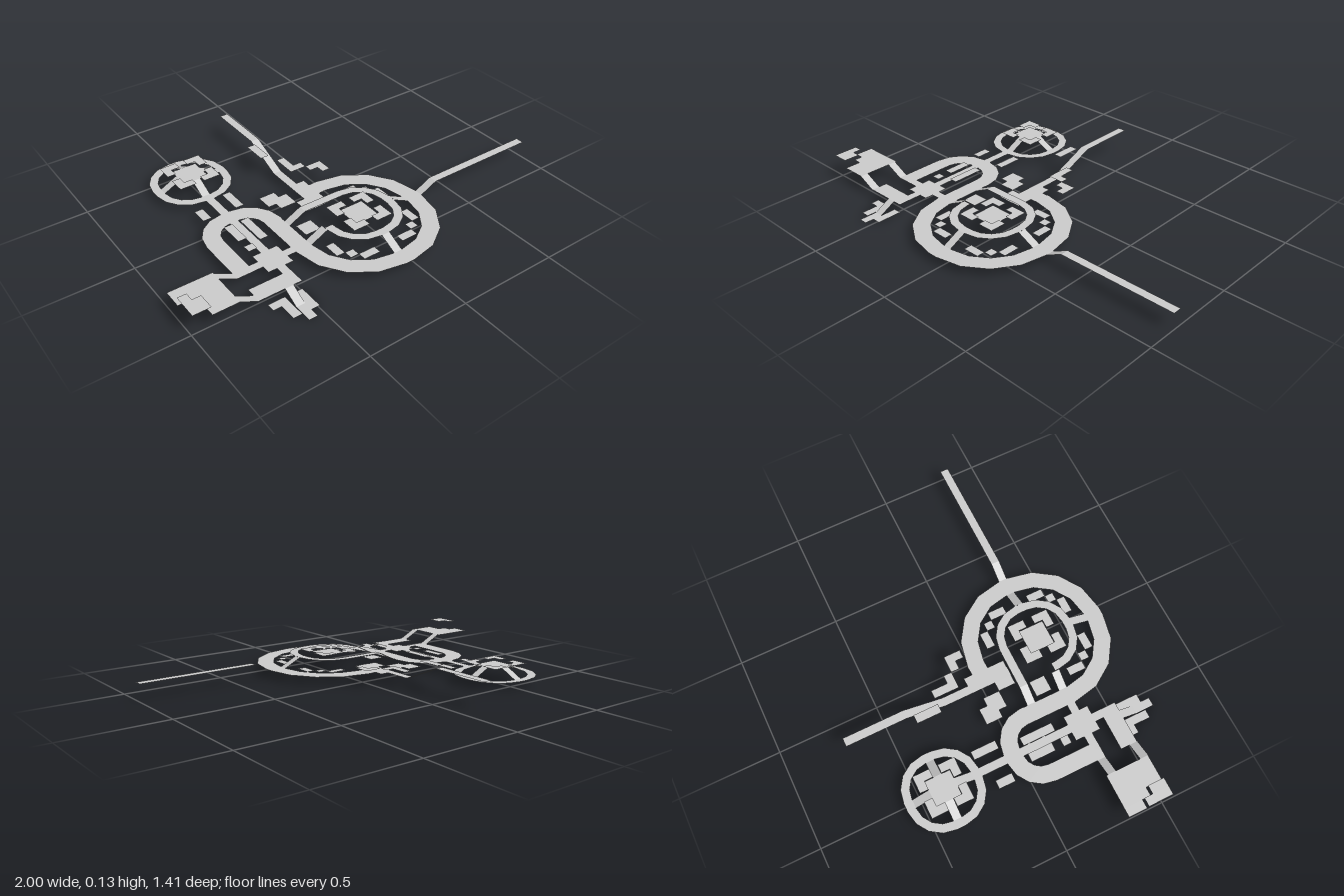
import * as THREE from 'three';

export function createModel() {
  const model = new THREE.Group();
  const mat = new THREE.MeshStandardMaterial({ color: 0xcccccc, flatShading: true, side: THREE.DoubleSide });
  const C = 2 / 47;                       // floor tile size
  const h = C / 2;
  const lift = C / 4;                     // raised tiles beside a floor
  const [L0, L1, L2, L3] = [0, C, 2 * C, 3 * C]; // floor levels

  function add(geo, name) {
    const mesh = new THREE.Mesh(geo, mat);
    mesh.name = name;
    model.add(mesh);
  }
  const rect = (x0, x1, z0, z1) => new THREE.PlaneGeometry(x1 - x0, z1 - z0)
    .rotateX(-Math.PI / 2).translate((x0 + x1) / 2, 0, (z0 + z1) / 2);
  // flat floor rectangle
  const floor = (name, x0, x1, z0, z1, y) => add(rect(x0, x1, z0, z1).translate(0, y, 0), name);
  // sloped floor, from height ya at the low coordinate to yb at the high one
  function ramp(name, axis, x0, x1, z0, z1, ya, yb) {
    const g = rect(x0, x1, z0, z1);
    const p = g.attributes.position;
    for (let i = 0; i < p.count; i++) {
      const t = axis === 'x' ? (p.getX(i) - x0) / (x1 - x0) : (p.getZ(i) - z0) / (z1 - z0);
      p.setY(i, ya + (yb - ya) * t);
    }
    g.computeVertexNormals();
    add(g, name);
  }
  // flat ring of quarter bends (0 = right back, then counterclockwise from above),
  // joined by straight pieces one tile long; radii are in tiles
  function ring(name, x, z, y, r0, r1, quarters) {
    for (const q of quarters) {
      const parts = [
        new THREE.RingGeometry(r0 * C, r1 * C, 4, 1, 0, Math.PI / 2).rotateX(-Math.PI / 2).translate(h, 0, -h),
        rect(h + r0 * C, h + r1 * C, -h, 0),
        rect(0, h, -h - r1 * C, -h - r0 * C),
      ];
      parts.forEach((g) => add(g.rotateY(q * Math.PI / 2).translate(x, y, z), name));
    }
  }
  const tiles = (name, y, list) => list.forEach((r) => floor(name, ...r, y));
  // rectangle given in tiles from a centre, mirrored by sx and sz
  function quad(name, cx, cz, y, sx, sz, [a, b, c, d]) {
    const X = [cx + sx * a * C, cx + sx * b * C].sort((p, q) => p - q);
    const Z = [cz + sz * c * C, cz + sz * d * C].sort((p, q) => p - q);
    floor(name, ...X, ...Z, y);
  }
  // square centre with an L of tiles around each corner
  function centre(name, cx, cz, y) {
    floor(name, cx - 1.5 * C, cx + 1.5 * C, cz - 1.5 * C, cz + 1.5 * C, y);
    for (const sx of [-1, 1]) for (const sz of [-1, 1]) {
      quad(name + 'Corner', cx, cz, y + lift, sx, sz, [0.5, 2.5, 1.5, 2.5]);
      quad(name + 'Corner', cx, cz, y + lift, sx, sz, [1.5, 2.5, 0.5, 1.5]);
    }
  }

  // Large round hall
  const bx = -C, bz = 0.34;
  ring('largeRing', bx, bz, L1, 6, 8, [0, 2, 3]);
  ring('innerRing', bx, bz, L2, 3, 4, [0, 2, 3]);
  floor('largeRingEnd', -0.15, bx, -0.02, 0.064, L1);
  floor('innerRingStraight', -0.235, bx, 0.148, 0.191, L2);
  ramp('innerRingRamp', 'x', -0.32, -0.235, 0.148, 0.191, L1, L2);
  ramp('westSpoke', 'x', -0.32, -0.235, bz - h, bz + h, L1, L2);
  ramp('eastSpoke', 'x', 0.149, 0.235, bz - h, bz + h, L2, L1);
  ramp('southSpoke', 'z', bx - h, bx + h, 0.531, 0.617, L2, L1);
  centre('hallCentre', bx, bz, L2);
  // Stepped tiles between the rings, in three quadrants
  for (const [sx, sz] of [[1, 1], [1, -1], [-1, 1]]) {
    quad('hallTile', bx, bz, L1, sx, sz, [4.5, 5.5, 1.5, 3.5]);
    quad('hallTile', bx, bz, L1, sx, sz, [3.5, 4.5, 3.5, 4.5]);
    quad('hallTile', bx, bz, L1, sx, sz, [1.5, 3.5, 4.5, 5.5]);
  }
  floor('hallTile', -0.3, -0.22, 0.21, 0.29, L1);

  // Long east corridor
  ramp('eastRamp', 'x', 0.319, 0.405, bz - h, bz + h, L1, L2);
  floor('eastCorridor', 0.405, 1, bz - h, bz + h, L2);

  // Long north corridor with stepped landings
  floor('northCorridor', -0.15, -0.107, -0.705, -0.4, L3);
  ramp('northRamp', 'z', -0.15, -0.107, -0.4, -0.2, L3, L1);
  floor('northEntry', -0.15, -0.107, -0.2, 0.15, L1);
  floor('northLanding', -0.107, -0.065, -0.065, 0.148, L1);
  floor('upperTile', -0.194, -0.15, -0.365, -0.24, L3);
  tiles('stepTile', L2, [[-0.107, -0.065, -0.237, -0.152], [-0.107, -0.023, -0.152, -0.11],
    [-0.023, 0.062, -0.11, -0.067], [0.02, 0.062, -0.067, -0.025]]);
  tiles('lowStepTile', L1, [[-0.32, -0.237, -0.067, 0.018], [-0.28, -0.195, 0.018, 0.06],
    [-0.237, -0.195, -0.025, 0.018], [-0.195, -0.15, 0.06, 0.148]]);

  // Arched walkway
  const ax = -0.51;
  ring('archWalk', ax, 0.127, L1, 2, 4, [0, 1]);
  floor('archLeg', -0.702, -0.617, 0.127, 0.362, L1);
  floor('archLeg', -0.404, -0.32, 0.127, 0.34, L1);
  floor('archCorridor', ax - h, ax + h, -0.235, 0.53, L1);
  floor('archCentre', ax - 1.5 * C, ax + 1.5 * C, 0.275, 0.404, L1);
  floor('crossCorridor', -0.702, -0.36, bz - h, bz + h, L1);
  tiles('archTile', L1 + lift, [[-0.575, -0.532, 0.04, 0.165], [-0.575, -0.532, 0.208, 0.25],
    [-0.49, -0.447, 0.04, 0.208]]);
  tiles('linkTile', L1, [[-0.62, -0.577, -0.152, -0.067], [-0.447, -0.404, -0.195, -0.067]]);

  // Small round hall with four sloping spokes
  const nz = -0.385;
  ring('smallRing', ax, nz, L1, 3, 4, [0, 1, 2, 3]);
  centre('smallHallCentre', ax, nz, L2);
  const w = 1.5 * C, s = 3.5 * C;
  ramp('smallHallSpoke', 'z', ax - h, ax + h, nz + w, nz + s, L2, L1);
  ramp('smallHallSpoke', 'z', ax - h, ax + h, nz - s, nz - w, L1, L2);
  ramp('smallHallSpoke', 'x', ax + w, ax + s, nz - h, nz + h, L2, L1);
  ramp('smallHallSpoke', 'x', ax - s, ax - w, nz - h, nz + h, L1, L2);

  // West terrace
  floor('terrace', -0.915, -0.787, 0.31, 0.53, L2);
  floor('terrace', -0.957, -0.915, 0.31, 0.447, L2);
  floor('terrace', -1, -0.957, 0.31, 0.404, L2);
  floor('terraceStep', -1, -0.957, 0.404, 0.53, L3);
  floor('terraceStep', -0.957, -0.915, 0.447, 0.53, L3);
  for (const z of [bz - h, 0.489]) ramp('terraceRamp', 'x', -0.787, -0.702, z, z + C, L2, L1);

  // South landing and its lower end
  floor('southLanding', -0.702, -0.49, 0.445, 0.53, L1);
  ramp('southRamp', 'z', -0.575, -0.532, 0.53, 0.61, L1, L0);
  floor('southEnd', -0.575, -0.532, 0.61, 0.702, L0);
  tiles('southTile', L0, [[-0.62, -0.577, 0.572, 0.657], [-0.532, -0.49, 0.53, 0.657],
    [-0.662, -0.577, 0.53, 0.572]]);
  return model;
}
